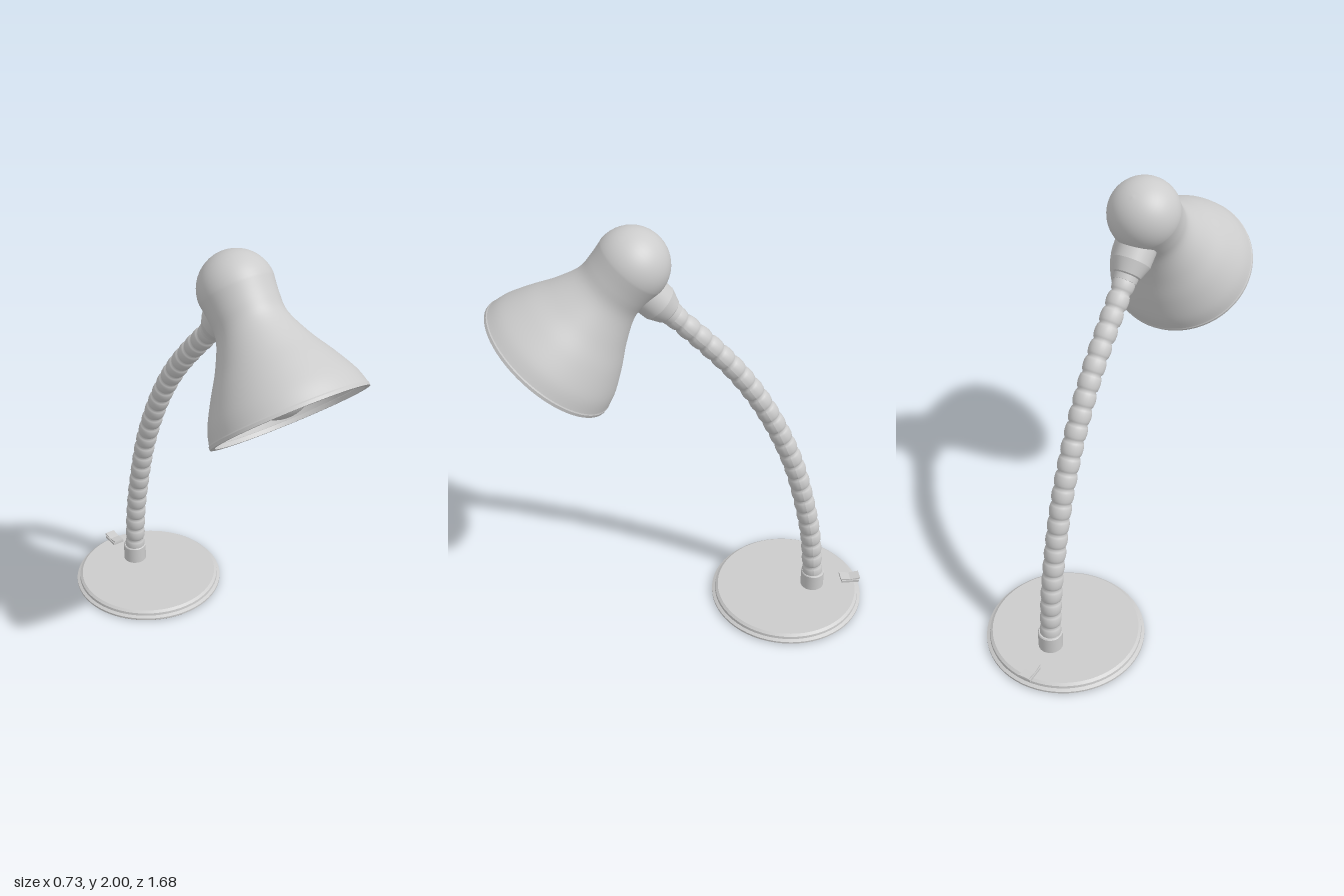
import * as THREE from 'three';

const V2 = (x, y) => new THREE.Vector2(x, y);
const V3 = (x, y, z) => new THREE.Vector3(x, y, z);

function createModel() {
  const lamp = new THREE.Group();
  lamp.name = 'deskLamp';
  const mat = new THREE.MeshStandardMaterial({ color: 0xcccccc });
  const matDouble = new THREE.MeshStandardMaterial({ color: 0xcccccc, side: THREE.DoubleSide });

  const add = (name, geometry, parent = lamp, material = mat) => {
    const mesh = new THREE.Mesh(geometry, material);
    mesh.name = name;
    parent.add(mesh);
    return mesh;
  };
  // Lathe whose profile corners stay sharp: one band per segment
  const hardLathe = (name, pts, sides, parent) => {
    const group = new THREE.Group();
    group.name = name;
    for (let i = 0; i < pts.length - 1; i++) {
      add(name + 'Band', new THREE.LatheGeometry([V2(...pts[i]), V2(...pts[i + 1])], sides), group);
    }
    parent.add(group);
    return group;
  };
  // Turns a group's +y axis toward a direction
  const aim = (object, dir) => object.quaternion.setFromUnitVectors(V3(0, 1, 0), dir.clone().normalize());

  // Base: stepped disc with a bevelled top
  const base = hardLathe('base', [[0, 0], [0.362, 0], [0.366, 0.004], [0.366, 0.013], [0.352, 0.02],
    [0.35, 0.032], [0.338, 0.041], [0, 0.041]], 64, lamp);
  base.position.z = -0.475;

  // Post that holds the foot of the gooseneck
  const post = hardLathe('post', [[0.056, 0.035], [0.056, 0.122], [0.052, 0.127], [0, 0.127]], 32, lamp);
  post.position.z = -0.604;

  // Switch: housing and a two-sided rocker
  const powerSwitch = new THREE.Group();
  powerSwitch.name = 'switch';
  powerSwitch.position.set(-0.01, 0.046, -0.795);
  add('switchHousing', new THREE.BoxGeometry(0.058, 0.014, 0.085), powerSwitch);
  for (const s of [-1, 1]) {
    const half = add('switchRocker', new THREE.BoxGeometry(0.05, 0.008, 0.05), powerSwitch);
    half.position.set(0, 0.011, s * 0.024);
    half.rotation.x = -s * 0.17;
  }
  lamp.add(powerSwitch);

  // Gooseneck: tube whose radius swells at every rib
  const path = new THREE.CatmullRomCurve3([[-0.604, 0.1], [-0.577, 0.36], [-0.534, 0.571], [-0.476, 0.783],
    [-0.39, 0.995], [-0.29, 1.18], [-0.19, 1.323], [-0.074, 1.455], [0.085, 1.617]].map(([z, y]) => V3(0, y, z)));
  const ribs = 24, steps = ribs * 8, around = 24;
  const neck = new THREE.TubeGeometry(path, steps, 1, around);
  const p = neck.attributes.position;
  const v = V3(0, 0, 0);
  for (let i = 0; i <= steps; i++) {
    const centre = path.getPointAt(i / steps);
    const radius = 0.039 + 0.01 * Math.sqrt(Math.abs(Math.sin(Math.PI * i / 8)));
    for (let j = 0; j <= around; j++) {
      const k = i * (around + 1) + j;
      v.fromBufferAttribute(p, k).sub(centre).multiplyScalar(radius).add(centre);
      p.setXYZ(k, v.x, v.y, v.z);
    }
  }
  neck.computeVertexNormals();
  add('gooseneck', neck, lamp, matDouble);

  // Joint: tapered collar from the gooseneck into the shade
  const joint = hardLathe('joint', [[0, 0], [0.05, 0], [0.053, 0.025], [0.06, 0.03], [0.082, 0.085], [0.085, 0.16]], 32, lamp);
  joint.position.set(0, 1.603, 0.07);
  aim(joint, V3(0, 0.72, 0.7));

  // Lamp head: local +y runs from the dome's centre to the mouth
  const head = new THREE.Group();
  head.name = 'head';
  head.position.set(0, 1.842, 0.235);
  aim(head, V3(0, -0.754, 0.657));
  lamp.add(head);

  // Shade profile: round dome, slight waist, bell, rolled lip, inner wall
  const R = 0.158, wall = 0.012;
  const dome = (r) => Array.from({ length: 13 }, (_, i) => {
    const a = (i / 12) * Math.PI / 2;
    return V2(r * Math.sin(a), -r * Math.cos(a));
  });
  const bell = new THREE.SplineCurve([[R, 0], [0.149, 0.08], [0.151, 0.16], [0.197, 0.27], [0.252, 0.368],
    [0.3, 0.465], [0.319, 0.53]].map((a) => V2(...a))).getPoints(30);
  const outer = [...dome(R), ...bell.slice(1)];
  const inner = [...dome(R - wall), ...bell.slice(1).map((q) => V2(q.x - wall, q.y))].reverse();
  // Widens the bell slightly sideways toward the mouth
  const widen = (geo) => {
    const pos = geo.attributes.position;
    for (let i = 0; i < pos.count; i++) {
      const t = THREE.MathUtils.smoothstep(pos.getY(i), 0.1, 0.5);
      pos.setX(i, pos.getX(i) * (1 + 0.05 * t));
    }
    return geo;
  };
  add('shadeOuter', widen(new THREE.LatheGeometry(outer, 64)), head, matDouble);
  add('shadeInner', widen(new THREE.LatheGeometry(inner, 64)), head, matDouble);
  const lip = [[0.319, 0.53], [0.322, 0.535], [0.322, 0.548], [0.302, 0.548], [0.302, 0.53], [0.308, 0.528]];
  for (let i = 0; i < lip.length - 1; i++) {
    add('shadeLip', widen(new THREE.LatheGeometry([V2(...lip[i]), V2(...lip[i + 1])], 64)), head, matDouble);
  }

  // Bulb with its neck and socket
  add('bulb', new THREE.SphereGeometry(0.153, 40, 28), head).position.y = 0.39;
  add('bulbNeck', new THREE.CylinderGeometry(0.1, 0.06, 0.16, 32), head).position.y = 0.2;
  add('socket', new THREE.CylinderGeometry(0.065, 0.065, 0.26, 32), head).position.y = 0;

  return lamp;
}

export { createModel };
